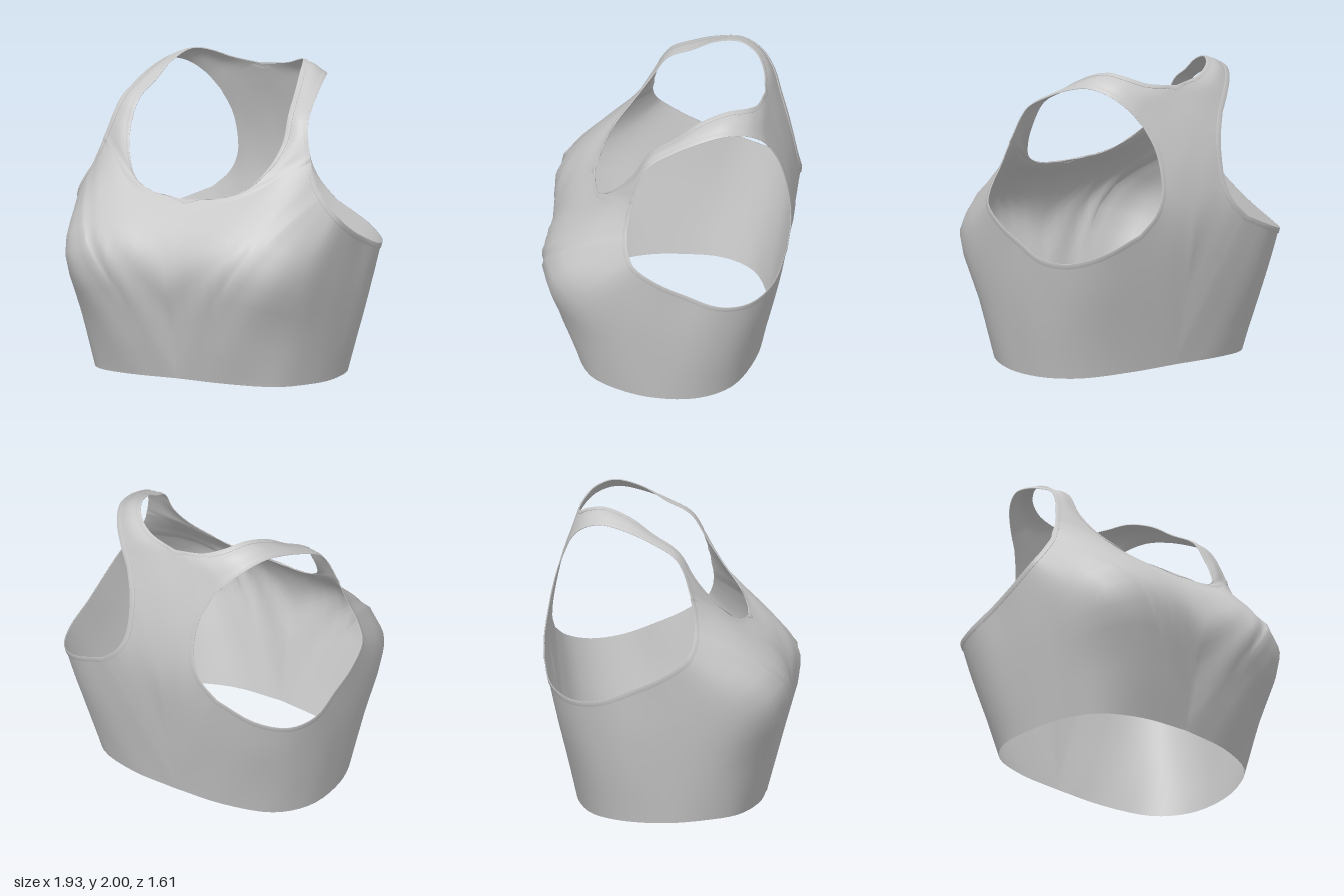
import * as THREE from 'three';
import { mergeVertices, mergeGeometries } from 'three/addons/utils/BufferGeometryUtils.js';

// Half of the garment is a sheet around one armhole. Each spoke runs from the
// armhole edge outward to the neckline, back centre, hem or front centre.
const strap = [
  [[.75, 1.47, .18], [.6, 1.37, .32], [.4, 1.25, .45], [.2, 1.2, .505], [0, 1.21, .5]],
  [[.745, 1.49, .18], [.48, 1.32, .385], [.25, 1.23, .475]],
  [[.735, 1.52, .17], [.58, 1.41, .29], [.4, 1.3, .41]],
  [[.72, 1.57, .155], [.61, 1.49, .24], [.5, 1.42, .3]],
  [[.7, 1.65, .125], [.63, 1.61, .17], [.55, 1.57, .19]],
  [[.68, 1.73, .07], [.61, 1.74, .09], [.54, 1.74, .085]],
  [[.65, 1.81, -.07], [.58, 1.835, -.07], [.5, 1.84, -.08]],
  [[.615, 1.88, -.24], [.54, 1.92, -.235], [.46, 1.94, -.23]],
  [[.57, 1.915, -.4], [.49, 1.97, -.4], [.4, 1.995, -.4]],
  [[.5, 1.88, -.53], [.41, 1.94, -.53], [.32, 1.97, -.51]],
  [[.41, 1.79, -.62], [.3, 1.87, -.605], [.2, 1.925, -.57]],
  [[.33, 1.68, -.67], [.18, 1.81, -.635], [0, 1.895, -.6]],
];
const back = [
  strap[11],
  [[.275, 1.54, -.72], [.14, 1.57, -.715], [0, 1.6, -.71]],
  [[.255, 1.4, -.755], [.13, 1.36, -.77], [0, 1.3, -.78]],
  [[.265, 1.24, -.785], [.14, 1.13, -.795], [0, 1, -.797]],
  [[.33, 1.11, -.8], [.18, .87, -.773], [0, .55, -.71]],
  [[.45, 1, -.79], [.3, .7, -.742], [.15, .38, -.68], [0, .05, -.61]],
];
const side = [
  back[5],
  [[.7, .89, -.73], [.64, .62, -.675], [.52, .33, -.62], [.35, .04, -.58]],
  [[.87, .83, -.59], [.83, .6, -.54], [.76, .3, -.48], [.66, .02, -.455]],
  [[.95, .84, -.4], [.92, .6, -.32], [.87, .3, -.26], [.8, .01, -.25]],
  [[.955, .92, -.18], [.92, .62, -.05], [.87, .3, 0], [.82, .005, .03]],
  [[.96, 1, 0], [.9, .68, .25], [.83, .32, .28], [.77, .015, .26]],
  [[.94, 1.11, .16], [.86, .75, .5], [.74, .36, .49], [.64, .025, .47]],
  [[.89, 1.19, .2], [.75, .8, .69], [.52, .42, .68], [.36, .04, .59]],
  [[.85, 1.25, .21], [.72, 1.07, .56], [.56, .86, .79], [.3, .5, .735], [0, .05, .62]],
];
const front = [
  side[8],
  [[.81, 1.31, .21], [.66, 1.1, .56], [.44, .86, .8], [0, .45, .705]],
  [[.79, 1.36, .2], [.61, 1.15, .54], [.35, .95, .76], [0, .75, .785]],
  [[.765, 1.42, .195], [.55, 1.24, .46], [.3, 1.1, .63], [0, 1, .705]],
  strap[0],
];

const ROWS = 13, STEPS = 4, TRIM = 0.035, LIFT = 0.006;
const spline = pts => new THREE.CatmullRomCurve3(pts);

// Evenly spaced points on a spoke, with one row set in from each edge for the trim
function sampleSpoke(spoke) {
  const curve = spline(spoke.map(p => new THREE.Vector3(...p)));
  const e = TRIM / curve.getLength();
  return Array.from({ length: ROWS }, (_, j) => curve.getPointAt(
    j === 0 ? 0 : j === ROWS - 1 ? 1 : e + (1 - 2 * e) * (j - 1) / (ROWS - 3)));
}

// Smooth columns between the spokes of one section, leaving out the last spoke
function sampleSection(spokes) {
  const sampled = spokes.map(sampleSpoke);
  const rows = Array.from({ length: ROWS }, (_, j) => spline(sampled.map(s => s[j])));
  const n = (spokes.length - 1) * STEPS;
  return Array.from({ length: n }, (_, i) => rows.map(r => r.getPoint(i / n)));
}

function gridGeometry(columns, closed) {
  const n = columns.length, rows = columns[0].length, index = [];
  for (let i = 0; i < (closed ? n : n - 1); i++) {
    for (let j = 0; j < rows - 1; j++) {
      const a = i * rows + j, b = ((i + 1) % n) * rows + j;
      index.push(a, b, a + 1, b, b + 1, a + 1);
    }
  }
  const g = new THREE.BufferGeometry().setFromPoints(columns.flat());
  g.setIndex(index);
  g.computeVertexNormals();
  return g;
}

// Join a half with its mirror image and weld the centre line
function mirrored(half) {
  const a = half.clone();
  a.deleteAttribute('normal');
  const b = a.clone().scale(-1, 1, 1);
  const ix = b.index.array;
  for (let k = 0; k < ix.length; k += 3) [ix[k], ix[k + 1]] = [ix[k + 1], ix[k]];
  const g = mergeVertices(mergeGeometries([a, b]), 1e-4);
  g.computeVertexNormals();
  return g;
}

export function createModel() {
  const group = new THREE.Group();
  group.name = 'sportsTop';
  const fabric = new THREE.MeshStandardMaterial({ color: 0xc8c8c8, side: THREE.DoubleSide });
  fabric.name = 'grey fabric';
  const add = (name, geometry) => {
    const mesh = new THREE.Mesh(geometry, fabric);
    mesh.name = name;
    group.add(mesh);
  };

  // Main cloth: straps, racer back, sides and bust
  const columns = [strap, back, side, front].flatMap(sampleSection);
  const sheet = gridGeometry(columns, true);
  add('body', mirrored(sheet));

  // Raised trim along an edge, following the cloth
  const normal = (i, j) => new THREE.Vector3().fromBufferAttribute(sheet.attributes.normal, i * ROWS + j);
  const lifted = (i, j) => columns[i][j].clone().addScaledVector(normal(i, j), LIFT);
  const armhole = columns.map((c, i) => [c[0], lifted(i, 0), lifted(i, 1), c[1]]);
  add('armholeTrim', mirrored(gridGeometry(armhole, true)));

  const last = ROWS - 1, neckCount = (strap.length - 1) * STEPS + 1;
  const neck = columns.slice(0, neckCount).map((c, i) => {
    const strip = [c[last - 1], lifted(i, last - 1), lifted(i, last), c[last]];
    // Run the end strips straight up the centre line
    if (i === 0 || i === neckCount - 1) {
      const down = i === 0 ? new THREE.Vector3(0, -.025, .022) : new THREE.Vector3(0, -.034, -.01);
      const out = new THREE.Vector3(0, .003, i === 0 ? LIFT : -LIFT);
      const inner = c[last].clone().add(down);
      return [inner, inner.clone().add(out), c[last].clone().add(out), c[last]];
    }
    return strip;
  });
  add('neckTrim', mirrored(gridGeometry(neck, false)));

  return group;
}
